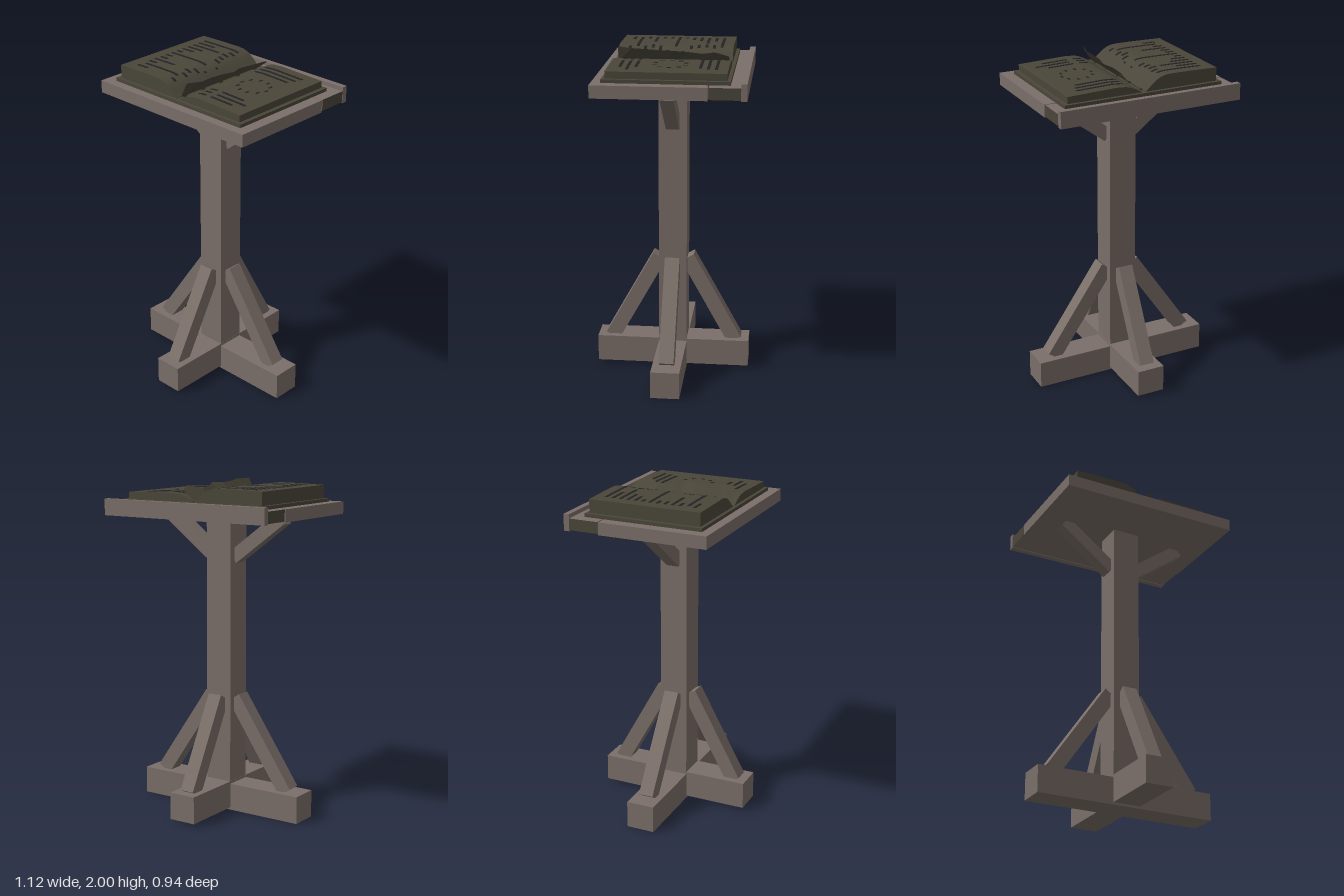
import * as THREE from 'three';
import { toCreasedNormals } from 'three/addons/utils/BufferGeometryUtils.js';

export function createModel() {
  const wood = new THREE.MeshStandardMaterial({ color: 0x7b6f69 });
  const paper = new THREE.MeshStandardMaterial({ color: 0x4a4639, side: THREE.DoubleSide });
  const ink = new THREE.MeshStandardMaterial({ color: 0x232325 });
  wood.name = 'wood';
  paper.name = 'agedPaper';
  ink.name = 'ink';

  const model = new THREE.Group();
  model.name = 'lectern';

  // box given by its limits on each axis
  function box(name, mat, [x0, x1], [y0, y1], [z0, z1], parent = model) {
    const mesh = new THREE.Mesh(new THREE.BoxGeometry(x1 - x0, y1 - y0, z1 - z0), mat);
    mesh.position.set((x0 + x1) / 2, (y0 + y1) / 2, (z0 + z1) / 2);
    mesh.name = name;
    parent.add(mesh);
    return mesh;
  }

  // square-ended diagonal brace, turned about the post
  function brace(name, [x0, y0], [x1, y1], size, turn) {
    const length = Math.hypot(x1 - x0, y1 - y0);
    const mesh = new THREE.Mesh(new THREE.BoxGeometry(length, size, size), wood);
    mesh.position.set((x0 + x1) / 2, (y0 + y1) / 2, 0);
    mesh.rotation.z = Math.atan2(y1 - y0, x1 - x0);
    const pivot = new THREE.Group();
    pivot.name = name;
    pivot.rotation.y = turn;
    pivot.add(mesh);
    model.add(pivot);
  }

  // crossed feet and post
  box('sideFoot', wood, [-0.56, 0.56], [0, 0.165], [-0.086, 0.086]);
  box('frontBackFoot', wood, [-0.086, 0.086], [0.015, 0.18], [-0.468, 0.468]);
  box('post', wood, [-0.085, 0.085], [0.01, 1.802], [-0.085, 0.085]);

  // lower and upper braces
  for (const turn of [0, Math.PI]) {
    brace('sideBrace', [0.448, 0.165], [0.083, 0.70], 0.09, turn);
    brace('frontBackBrace', [0.381, 0.168], [0.086, 0.703], 0.09, turn + Math.PI / 2);
    brace('topBrace', [0.401, 1.80], [0.071, 1.552], 0.08, turn);
  }

  // table top: main board, rear plank with tinted ends, raised ledge
  box('mainBoard', wood, [-0.56, 0.56], [1.802, 1.876], [-0.238, 0.417]);
  box('rearPlank', [paper, paper, wood, wood, wood, wood],
    [-0.558, 0.558], [1.808, 1.876], [-0.422, -0.245]);
  box('ledge', wood, [-0.56, 0.56], [1.802, 1.9], [-0.456, -0.422]);

  // open book
  const book = new THREE.Group();
  book.name = 'book';
  model.add(book);
  const coverTop = 1.896;
  box('cover', paper, [-0.492, 0.492], [1.876, coverTop], [-0.361, 0.361], book);

  function extrudeAcross(name, mat, points, z0, z1) {
    const shape = new THREE.Shape(points.map(([x, y]) => new THREE.Vector2(x, y)));
    const geo = new THREE.ExtrudeGeometry(shape, { depth: z1 - z0, bevelEnabled: false });
    const mesh = new THREE.Mesh(toCreasedNormals(geo, 0.5), mat);
    mesh.position.z = z0;
    mesh.name = name;
    book.add(mesh);
  }

  // page tops, from outer edge to outer edge
  const leftTop = [[-0.468, 1.975], [-0.3, 1.979], [-0.17, 1.98], [-0.135, 1.977], [-0.105, 1.968],
    [-0.08, 1.954], [-0.055, 1.934], [-0.03, 1.911], [-0.012, 1.898]];
  const rightTop = [[0.012, 1.898], [0.045, 1.917], [0.08, 1.933], [0.11, 1.941],
    [0.17, 1.945], [0.468, 1.936]];
  for (const top of [leftTop, rightTop]) {
    const a = top[0], b = top[top.length - 1];
    extrudeAcross('pageBlock', paper, [[a[0], coverTop - 0.002], [b[0], coverTop - 0.002],
      ...top.slice().reverse()], -0.341, 0.341);
  }

  // height of the page at x
  function pageY(x) {
    const top = x < 0 ? leftTop : rightTop;
    const i = Math.max(1, top.findIndex((p) => p[0] >= x));
    const [x0, y0] = top[i - 1], [x1, y1] = top[i];
    return y0 + (y1 - y0) * (x - x0) / (x1 - x0);
  }

  // thin ink mark that follows the page curve
  function mark(name, x0, x1, z, depth) {
    const knots = [...leftTop, ...rightTop].map((p) => p[0]).filter((x) => x > x0 && x < x1);
    const xs = [x0, ...knots, x1];
    const lower = xs.map((x) => [x, pageY(x) - 0.001]);
    const upper = xs.map((x) => [x, pageY(x) + 0.0015]).reverse();
    extrudeAcross(name, ink, [...lower, ...upper], z - depth / 2, z + depth / 2);
  }

  // written lines: each row lists start and end pairs
  const leftRows = [
    [-0.397, -0.118], [-0.397, -0.268, -0.148, -0.106], [-0.397, -0.19, -0.16, -0.115],
    [-0.397, -0.28, -0.145, -0.109], [-0.397, -0.308, -0.133, -0.097], [-0.397, -0.355, -0.079, -0.07],
    [-0.397, -0.118], [-0.397, -0.346, -0.082, -0.073], [-0.397, -0.34, -0.124, -0.085],
    [-0.397, -0.238, -0.148, -0.103], [-0.397, -0.337, -0.124, -0.088], [-0.379, -0.118],
    [-0.397, -0.313, -0.118, -0.088]];
  const rightRows = [[0.097, 0.382], [0.097, 0.37], [0.097, 0.349], [], [], [], [], [], [], [],
    [0.097, 0.151, 0.19, 0.349], [0.097, 0.151, 0.195, 0.406], [0.097, 0.151, 0.19, 0.349]];
  for (const rows of [leftRows, rightRows]) {
    rows.forEach((row, r) => {
      for (let i = 0; i < row.length; i += 2) {
        mark('writtenLine', row[i], row[i + 1], -0.273 + r * 0.0455, 0.017);
      }
    });
  }

  // ring of small marks on the right page
  for (let i = 0; i < 10; i++) {
    const a = (i / 10) * Math.PI * 2;
    const x = 0.256 + 0.092 * Math.cos(a);
    mark('ringMark', x - 0.006, x + 0.006, -0.005 + 0.092 * Math.sin(a), 0.026);
  }

  // spine bindings
  for (let i = -2; i <= 2; i++) {
    const z = i * 0.145;
    box('binding', paper, [-0.012, 0.006], [coverTop - 0.002, 1.906], [z - 0.015, z + 0.015], book);
  }

  // half-turned page with a ragged outer edge: x, y, z along that edge
  const edge = [[0.073, 1.956, -0.326], [0.11, 1.985, -0.245], [0.055, 1.965, -0.168],
    [0.062, 1.975, -0.087], [0.103, 1.988, -0.006], [0.073, 1.985, 0.07],
    [0.073, 1.99, 0.16], [0.09, 1.997, 0.24], [0.055, 2.0, 0.325]];
  const positions = [], index = [];
  edge.forEach(([x, y, z], i) => {
    positions.push(0.006, 1.905, z, x, y, z);
    if (i) {
      const k = 2 * i;
      index.push(k - 2, k, k - 1, k - 1, k, k + 1);
    }
  });
  const flap = new THREE.BufferGeometry();
  flap.setAttribute('position', new THREE.Float32BufferAttribute(positions, 3));
  flap.setIndex(index);
  const flat = flap.toNonIndexed();
  flat.computeVertexNormals();
  const page = new THREE.Mesh(flat, paper);
  page.name = 'turningPage';
  book.add(page);

  return model;
}
